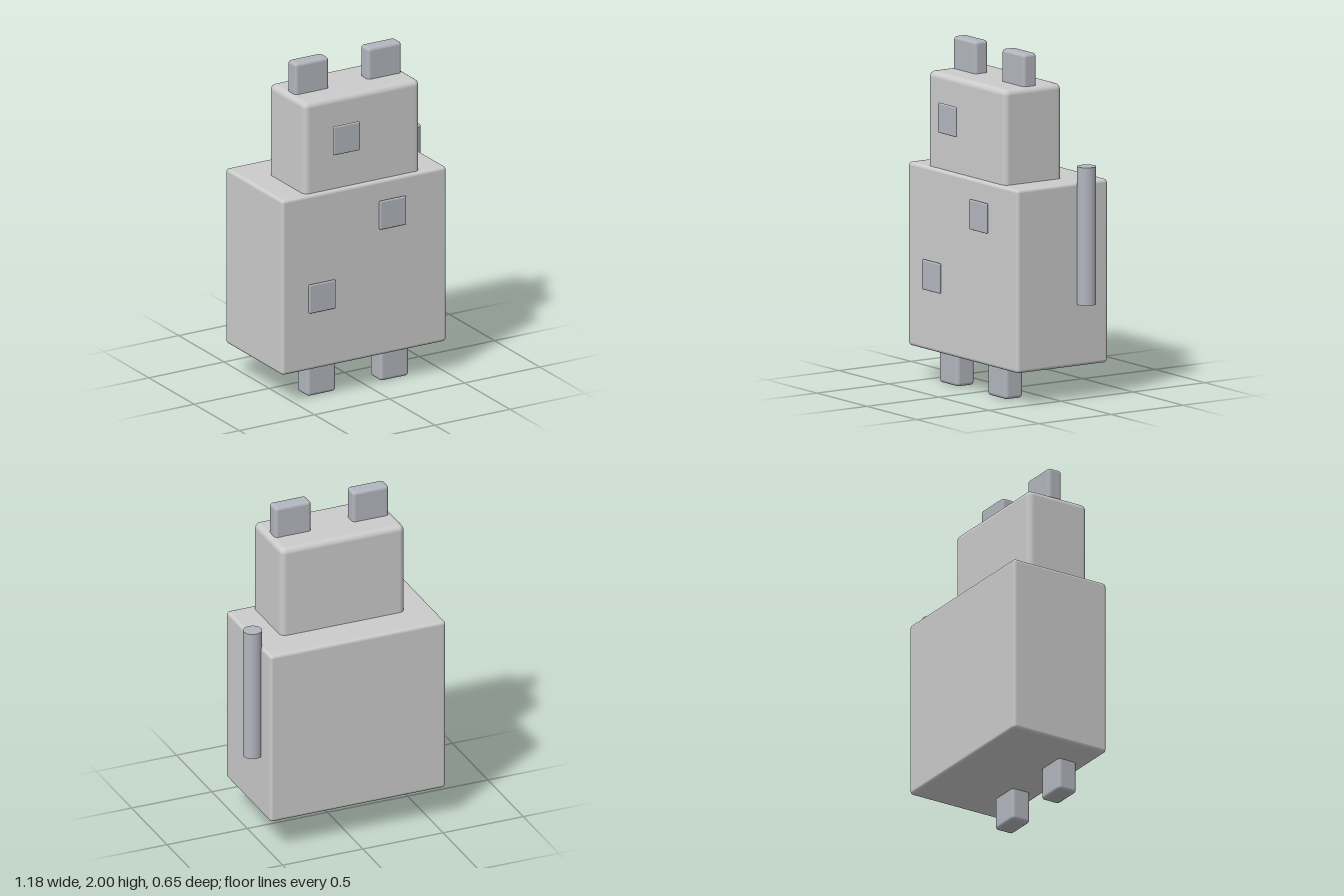
import * as THREE from 'three';
import { RoundedBoxGeometry } from 'three/addons/geometries/RoundedBoxGeometry.js';

const grey = new THREE.MeshStandardMaterial({ color: 0xcccccc });
const slate = new THREE.MeshStandardMaterial({ color: 0xb3b6be });

// Rounded block given by its extents along x, y and z
function block(name, [x0, x1], [y0, y1], [z0, z1], radius, material) {
  const geometry = new RoundedBoxGeometry(x1 - x0, y1 - y0, z1 - z0, 3, radius);
  const mesh = new THREE.Mesh(geometry, material);
  mesh.position.set((x0 + x1) / 2, (y0 + y1) / 2, (z0 + z1) / 2);
  mesh.name = name;
  return mesh;
}

export function createModel() {
  const model = new THREE.Group();
  model.name = 'blockAnimal';

  // Torso and head
  model.add(block('body', [-0.595, 0.5], [0.195, 1.26], [-0.328, 0.302], 0.02, grey));
  model.add(block('head', [-0.432, 0.34], [1.22, 1.812], [-0.121, 0.278], 0.035, grey));

  // Ears and feet, one pair each
  for (const [side, earX, footX] of [['right', -0.2875, -0.29], ['left', 0.1965, 0.195]]) {
    model.add(block(side + 'Ear', [earX - 0.1125, earX + 0.1125], [1.77, 2], [0.034, 0.125], 0.02, slate));
    model.add(block(side + 'Foot', [footX - 0.095, footX + 0.095], [0.005, 0.23], [0.115, 0.235], 0.02, slate));
  }

  // Thin square patches floating just in front
  for (const [x, y] of [[-0.177, 1.567], [0.132, 1.054], [-0.338, 0.634]]) {
    model.add(block('patch', [x - 0.088, x + 0.088], [y - 0.087, y + 0.087], [0.307, 0.325], 0.008, slate));
  }

  // Upright rod beside the body
  const rod = new THREE.Mesh(new THREE.CylinderGeometry(0.055, 0.055, 0.8, 32), slate);
  rod.position.set(0.535, 0.957, -0.154);
  rod.name = 'tail';
  model.add(rod);

  return model;
}
